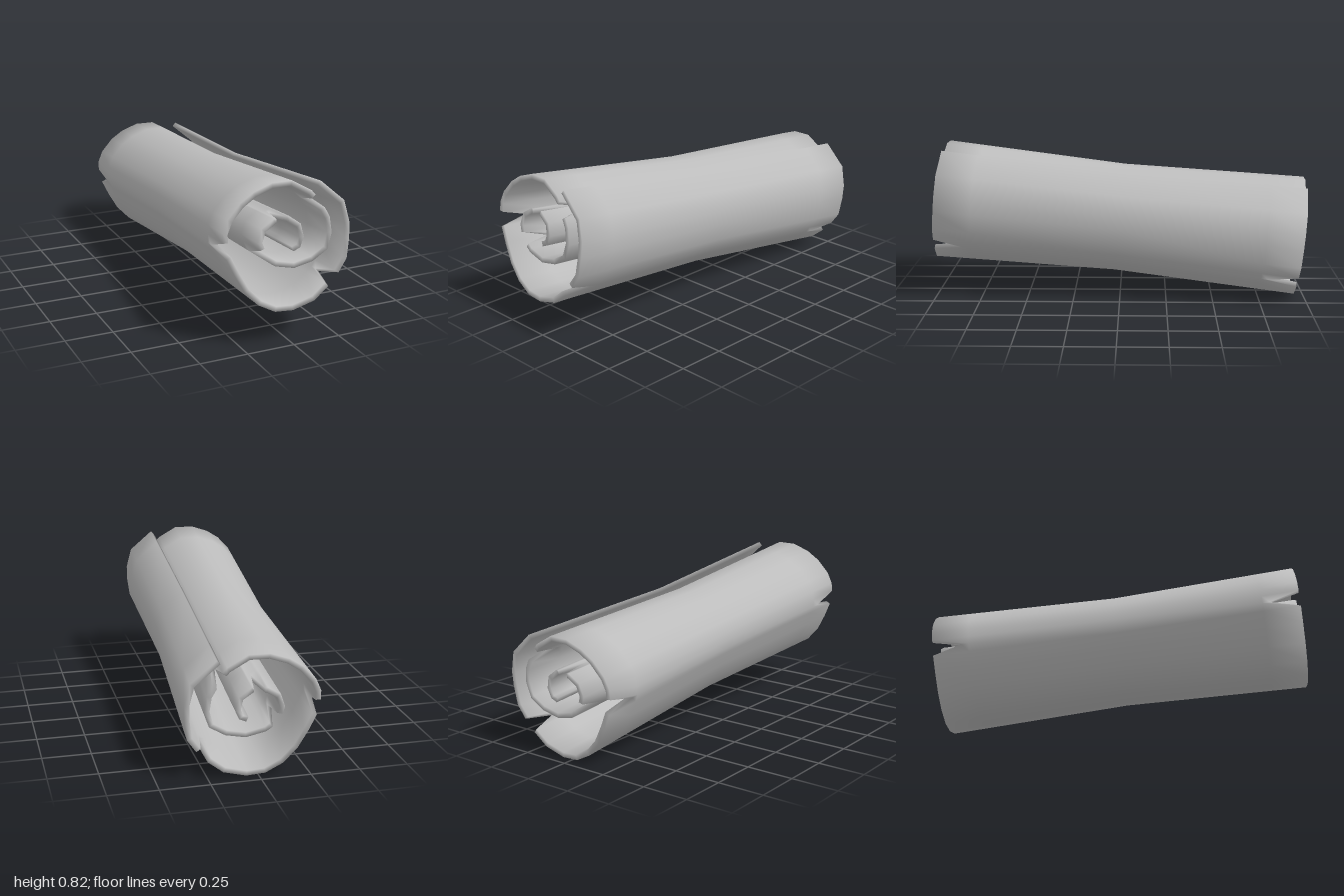
import * as THREE from 'three';

// Spiral cross-section of the sheet (outer face), from the inner curl to the loose flap.
// A third value of 1 marks where both ends of the sheet are torn.
const SPIRAL = [
  [0.0, 0.475], [0.035, 0.49], [0.055, 0.54], [0.04, 0.605], [-0.02, 0.65], [-0.055, 0.64, 1],
  [-0.10, 0.645], [-0.165, 0.605], [-0.188, 0.54], [-0.165, 0.46, 1], [-0.10, 0.415],
  [0.0, 0.392], [0.10, 0.412], [0.18, 0.46], [0.205, 0.54], [0.195, 0.62], [0.15, 0.705, 1],
  [0.10, 0.76], [0.0, 0.818], [-0.105, 0.818], [-0.2, 0.785], [-0.27, 0.74], [-0.335, 0.67],
  [-0.362, 0.61], [-0.365, 0.52, 1], [-0.31, 0.4], [-0.26, 0.31], [-0.19, 0.235],
  [-0.105, 0.19], [-0.01, 0.183], [0.105, 0.213], [0.215, 0.30, 1], [0.285, 0.4],
  [0.30, 0.5], [0.302, 0.58], [0.275, 0.69], [0.15, 0.80],
];
const CENTRE = [-0.035, 0.502];
const THICKNESS = 0.026;
const TEAR_HALF_WIDTH = 0.042;
const ROWS = [1, 0.8, 0, -0.8, -1];

// Adds a column on each side of every tear, so the tear is a V
function makeColumns() {
  const columns = [];
  SPIRAL.forEach(([x, y, torn], i) => {
    const p = new THREE.Vector2(x, y);
    if (!torn) return columns.push({ p, torn: false });
    const beside = (q) => {
      const d = new THREE.Vector2(q[0], q[1]).sub(p);
      return p.clone().addScaledVector(d, Math.min(0.7, TEAR_HALF_WIDTH / d.length()));
    };
    columns.push({ p: beside(SPIRAL[i - 1]), torn: false });
    columns.push({ p, torn: true });
    columns.push({ p: beside(SPIRAL[i + 1]), torn: false });
  });
  return columns;
}

// Places a cross-section point along the tilted roll, which is narrower in the middle
function place(p, t) {
  const s = 0.91 + 0.09 * Math.abs(t);
  const dx = (p.x - CENTRE[0]) * s, dy = (p.y - CENTRE[1]) * s;
  return [-0.035 * t + dx, 0.41 + 0.092 * t + dy, 0.97 * t - 0.09 * dy + 0.03 * dx];
}

function rolledSheet() {
  const columns = makeColumns(), n = columns.length, r = ROWS.length, m = r * 2;
  const positions = [], index = [], ends = [];

  // Each column is a loop: outer face front to back, then inner face back to front
  columns.forEach(({ p, torn }, i) => {
    const a = columns[Math.max(i - 1, 0)].p, b = columns[Math.min(i + 1, n - 1)].p;
    const tangent = b.clone().sub(a).normalize();
    const inner = new THREE.Vector2(p.x - tangent.y * THICKNESS, p.y + tangent.x * THICKNESS);
    for (let j = 0; j < m; j++) {
      const row = ROWS[j < r ? j : m - 1 - j];
      const atEnd = Math.abs(row) === 1;
      const t = atEnd && torn ? row * 0.84 : row;
      positions.push(...place(j < r ? p : inner, t));
      ends.push(atEnd ? row : 0);
    }
  });

  // Faces and end rims
  for (let i = 0; i < n - 1; i++) {
    for (let j = 0; j < m; j++) {
      const k = (j + 1) % m;
      const a = i * m + j, b = a + m, c = i * m + k, d = c + m;
      index.push(a, c, b, b, c, d);
    }
  }
  // Long edges at the curl and the flap
  const last = (n - 1) * m;
  for (let j = 0; j < r - 1; j++) {
    const q = m - 1 - j;
    index.push(j, q, q - 1, j, q - 1, j + 1);
    index.push(last + j, last + j + 1, last + q - 1, last + j, last + q - 1, last + q);
  }

  const geometry = new THREE.BufferGeometry();
  geometry.setAttribute('position', new THREE.Float32BufferAttribute(positions, 3));
  geometry.setIndex(index);
  geometry.computeVertexNormals();

  // Soften the rims by leaning their normals towards the ends
  const normal = geometry.attributes.normal, v = new THREE.Vector3();
  const axis = new THREE.Vector3(-0.035, 0.092, 0.97).normalize();
  ends.forEach((e, i) => {
    if (!e) return;
    v.fromBufferAttribute(normal, i).addScaledVector(axis, e * 0.6).normalize();
    normal.setXYZ(i, v.x, v.y, v.z);
  });
  return geometry;
}

export function createModel() {
  const group = new THREE.Group();
  group.name = 'scroll';
  const grey = new THREE.MeshStandardMaterial({ color: 0xbcbcbc });
  grey.name = 'paperGrey';
  const sheet = new THREE.Mesh(rolledSheet(), grey);
  sheet.name = 'rolledSheet';
  group.add(sheet);
  return group;
}
